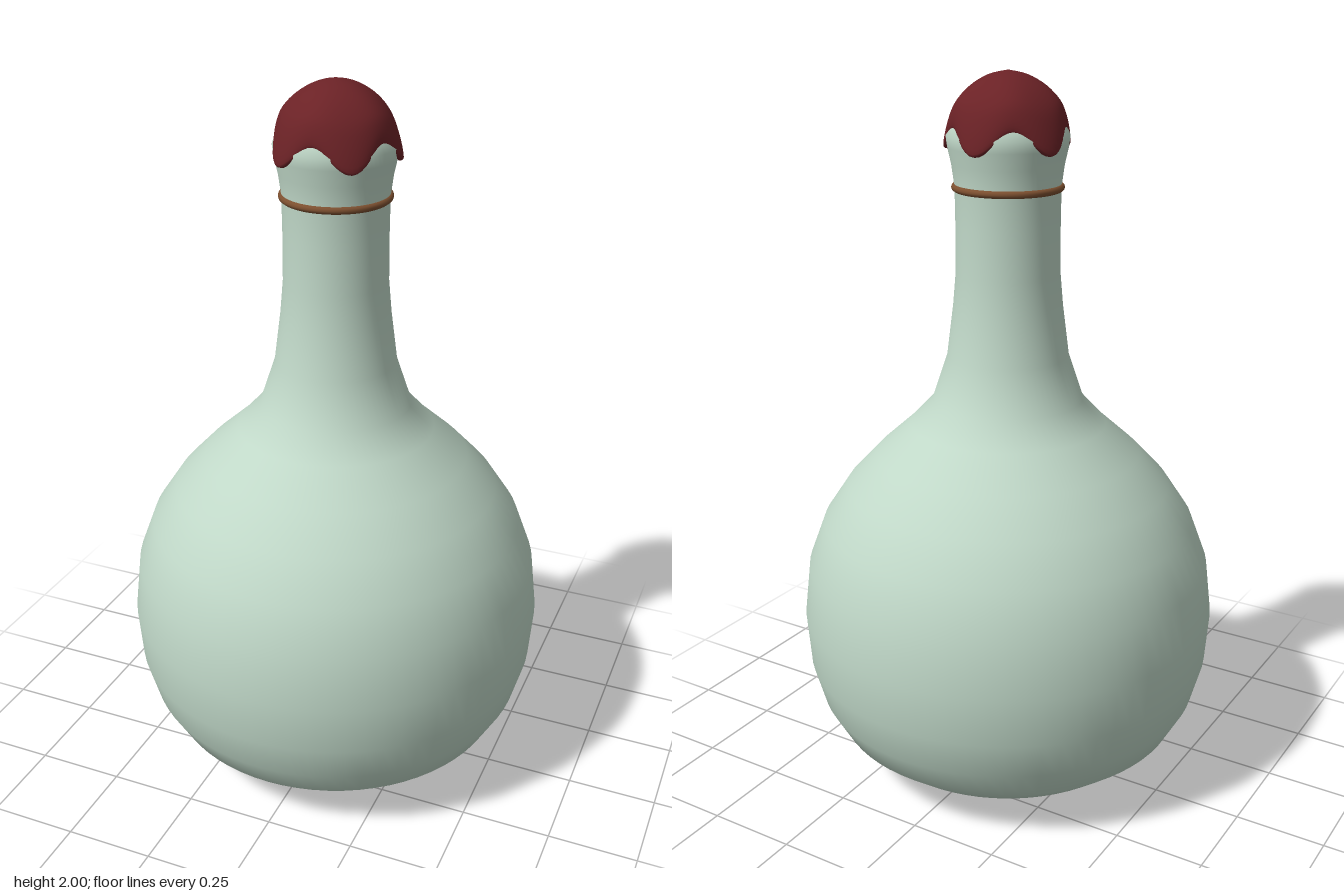
import * as THREE from 'three';
import { mergeVertices } from 'three/addons/utils/BufferGeometryUtils.js';

const material = (name, color) => {
  const m = new THREE.MeshStandardMaterial({ color });
  m.name = name;
  return m;
};

const points = (list) => list.map(([r, y]) => new THREE.Vector2(r, y));

// Round wax dome whose rim is pulled into five drips
function waxGeometry() {
  const rim = points([[0.154, 1.824], [0.164, 1.832], [0.156, 1.875], [0.137, 1.92],
    [0.1, 1.96], [0.052, 1.988], [0, 2]]);
  const profile = new THREE.SplineCurve(rim).getPoints(24);
  profile[profile.length - 1].x = 0;
  const lathe = new THREE.LatheGeometry(profile, 80);
  const p = lathe.attributes.position;
  for (let i = 0; i < p.count; i++) {
    const x = p.getX(i), y = p.getY(i), z = p.getZ(i);
    const wave = -Math.cos(5 * Math.atan2(x, z));
    const fall = Math.min(1, ((2 - y) / 0.17) ** 2);
    const swell = 1 + 0.06 * wave * fall;
    p.setXYZ(i, x * swell, y - 0.03 * wave * fall, z * swell);
  }
  lathe.deleteAttribute('normal');
  lathe.deleteAttribute('uv');
  const geometry = mergeVertices(lathe, 1e-5);
  geometry.computeVertexNormals();
  return geometry;
}

export function createModel() {
  const glass = material('pale green glass', 0xc0d8c8);
  const wax = material('dark red wax', 0x6b2226);
  const twine = material('brown twine', 0x7d5030);
  wax.side = THREE.DoubleSide;

  const model = new THREE.Group();
  model.name = 'flask';
  const add = (name, geometry, mat) => {
    const mesh = new THREE.Mesh(geometry, mat);
    mesh.name = name;
    model.add(mesh);
    return mesh;
  };

  // Round body, long neck and flared lip
  add('bottle', new THREE.LatheGeometry(points([
    [0, 0.003], [0.16, 0.022], [0.31, 0.047], [0.42, 0.085], [0.5, 0.15], [0.55, 0.24],
    [0.58, 0.35], [0.59, 0.49], [0.572, 0.64], [0.525, 0.765], [0.455, 0.87],
    [0.37, 0.96], [0.275, 1.045], [0.21, 1.115], [0.168, 1.24], [0.15, 1.38], [0.142, 1.47],
    [0.141, 1.6], [0.142, 1.7], [0.15, 1.76], [0.16, 1.805], [0.164, 1.835],
    [0.152, 1.862], [0.135, 1.89], [0.1, 1.92], [0, 1.94],
  ]), 72), glass);

  // Cord around the neck
  const ring = add('neckCord', new THREE.TorusGeometry(0.141, 0.01, 10, 72), twine);
  ring.rotation.x = Math.PI / 2;
  ring.position.y = 1.7;

  add('waxSeal', waxGeometry(), wax);
  return model;
}
